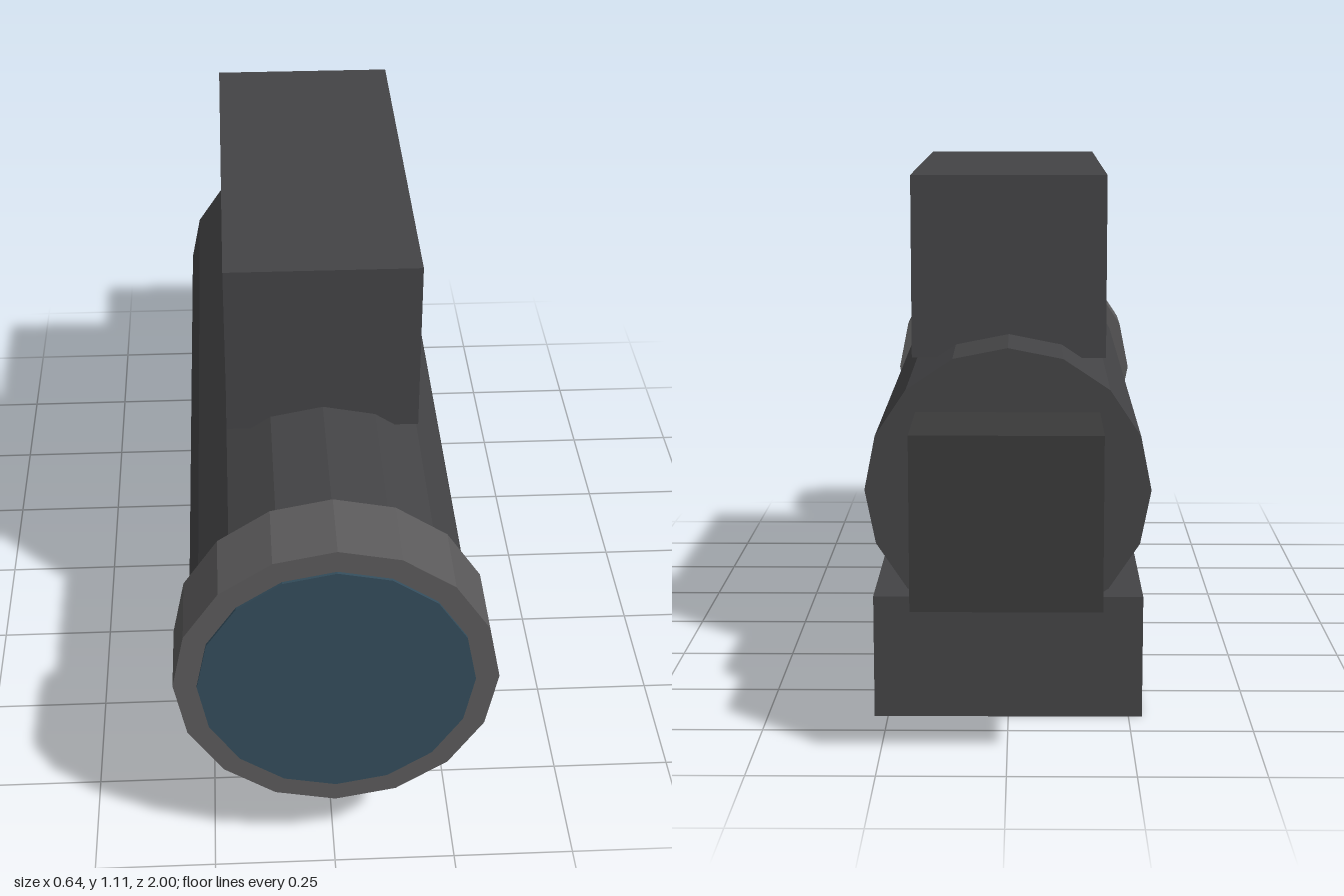
import * as THREE from 'three';

const AXIS_Y = 0.493; // height of the tube axis

function paint(color) {
  return new THREE.MeshStandardMaterial({ color, flatShading: true });
}

export function createModel() {
  const model = new THREE.Group();
  const housing = paint(0x444446);
  const dark = paint(0x3a3a3a);
  const ring = paint(0x5c5b5c);
  const glass = paint(0x344d5c);

  function add(name, geometry, material, y, z) {
    const mesh = new THREE.Mesh(geometry, material);
    mesh.name = name;
    mesh.position.set(0, y, z);
    model.add(mesh);
  }

  // 16-sided drum along z, between two depths
  function drum(name, radius, back, front, material) {
    const geometry = new THREE.CylinderGeometry(radius, radius, front - back, 16);
    geometry.rotateX(Math.PI / 2);
    add(name, geometry, material, AXIS_Y, (back + front) / 2);
  }

  // Block centred on x, given by its limits in y and z
  function block(name, width, bottom, top, back, front, material) {
    const geometry = new THREE.BoxGeometry(width, top - bottom, front - back);
    add(name, geometry, material, (bottom + top) / 2, (back + front) / 2);
  }

  // Tube with front ring and lens
  drum('body', 0.289, -0.71, 0.9, housing);
  drum('frontRing', 0.32, 0.83, 0.994, ring);
  drum('lens', 0.273, 0.96, 1, glass);

  // Upper housing, mounting foot and detached rear block
  block('topHousing', 0.406, 0.732, 1.112, -0.517, 0.463, housing);
  block('mountFoot', 0.556, 0, 0.258, -0.665, 0.188, housing);
  block('rearBlock', 0.364, 0.325, 0.663, -1, -0.766, dark);

  return model;
}
